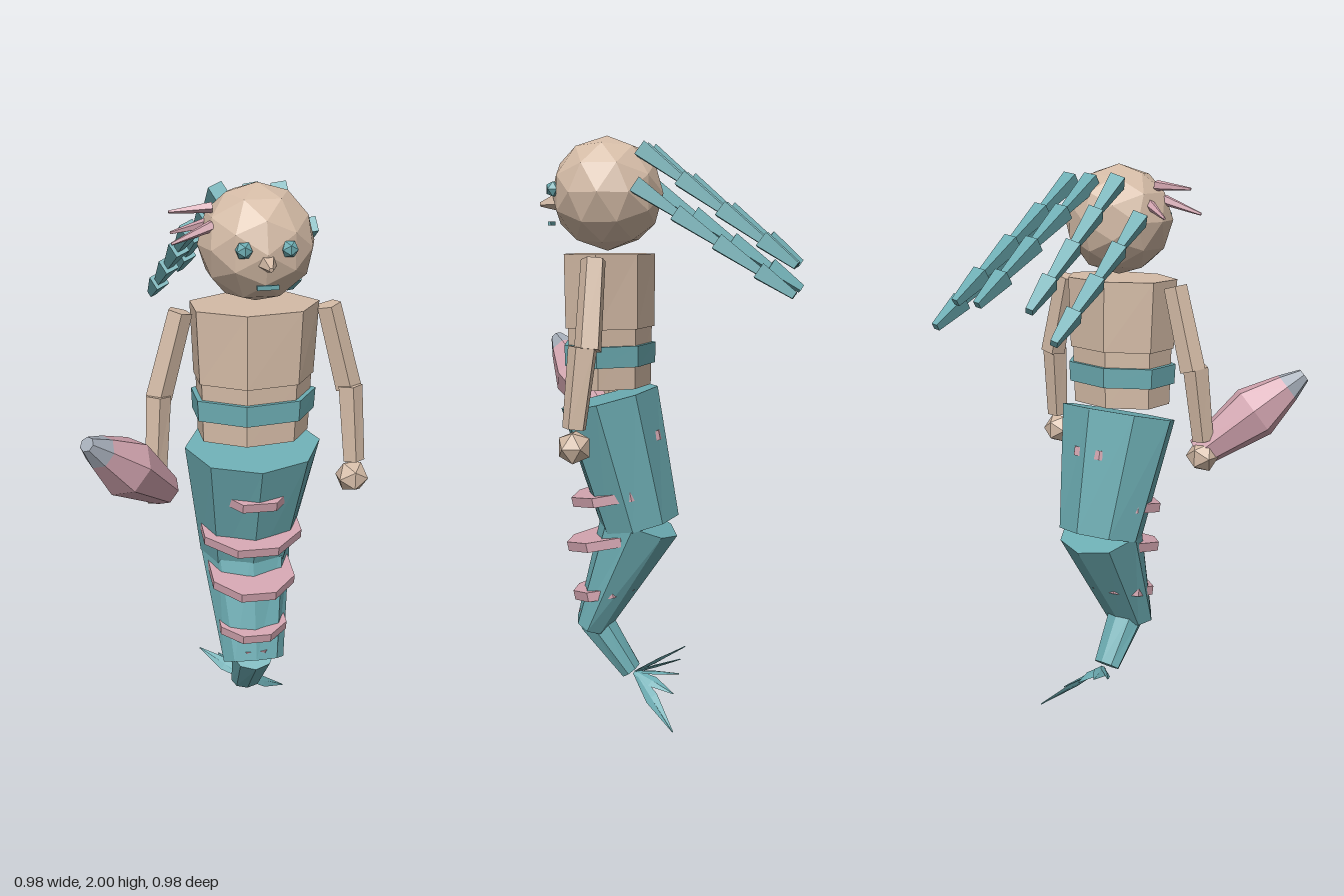
import * as THREE from 'three';

const paint = (name, color) => {
  const m = new THREE.MeshStandardMaterial({ color, flatShading: true });
  m.name = name;
  return m;
};

export function createModel() {
  const skin = paint('skin', 0xd4bba6);
  const teal = paint('teal', 0x6cacb2);
  const pink = paint('pink', 0xd3a5b0);
  const grey = paint('grey', 0xa3abb6);
  const root = new THREE.Group();
  const CX = 0.105; // plane of symmetry of the body

  const add = (name, geo, mat, pos = [0, 0, 0], parent = root) => {
    const m = new THREE.Mesh(geo, mat);
    m.name = name;
    m.position.set(...pos);
    parent.add(m);
    return m;
  };

  // Prism from point a to point b; each end has its own [x, z] radius
  const prism = (name, mat, a, b, ra, rb, sides, turn = 0, parent = root) => {
    const A = new THREE.Vector3(...a), B = new THREE.Vector3(...b);
    const len = A.distanceTo(B);
    const geo = new THREE.CylinderGeometry(1, 1, len, sides).rotateY(turn);
    const p = geo.attributes.position;
    for (let i = 0; i < p.count; i++) {
      const r = [p.getY(i) < 0 ? ra : rb].flat();
      p.setX(i, p.getX(i) * r[0]);
      p.setZ(i, p.getZ(i) * (r[1] ?? r[0]));
    }
    const m = add(name, geo, mat, A.clone().lerp(B, 0.5).toArray(), parent);
    m.quaternion.setFromUnitVectors(new THREE.Vector3(0, 1, 0), B.sub(A).normalize());
    return m;
  };

  // Head and face
  add('head', new THREE.IcosahedronGeometry(0.19, 1), skin, [0.107, 1.81, 0.16]);
  for (const x of [0.035, 0.178]) {
    add('eye', new THREE.IcosahedronGeometry(0.029, 0), teal, [x, 1.823, 0.327]);
  }
  prism('nose', skin, [0.108, 1.785, 0.325], [0.108, 1.775, 0.39], 0.034, 0.008, 5);
  add('mouth', new THREE.BoxGeometry(0.07, 0.014, 0.009), teal, [0.107, 1.711, 0.352]);

  // Torso: seven-sided drums with a belt
  const q = Math.PI / 2;
  prism('waist', skin, [0.1, 1.165, 0.16], [0.1, 1.37, 0.16], [0.193, 0.142], [0.2, 0.146], 7, q);
  prism('belt', teal, [0.1, 1.24, 0.16], [0.1, 1.31, 0.16], [0.212, 0.157], [0.216, 0.159], 7, q);
  prism('chest', skin, [0.1, 1.365, 0.16], [0.1, 1.61, 0.16], [0.207, 0.155], [0.22, 0.157], 7, q);

  // Arms, mirrored about the body plane
  for (const s of [1, -1]) {
    const arm = new THREE.Group();
    arm.name = s > 0 ? 'leftArm' : 'rightArm';
    root.add(arm);
    const at = (x, y, z) => [CX + s * x, y, z];
    prism('upperArm', skin, at(0.32, 1.31, 0.165), at(0.245, 1.595, 0.16), 0.046, 0.042, 5, 0, arm);
    prism('forearm', skin, at(0.338, 1.06, 0.208), at(0.322, 1.32, 0.18), [0.038, 0.04], [0.043, 0.05], 5, 0, arm);
    add('hand', new THREE.IcosahedronGeometry(0.058, 0), skin, at(0.335, 1.0, 0.21), arm);
  }

  // Club held in the right hand
  const club = new THREE.Group();
  club.name = 'club';
  root.add(club);
  const c0 = new THREE.Vector3(-0.205, 1.005, 0.225), c1 = new THREE.Vector3(-0.475, 1.28, 0.472);
  const along = t => c0.clone().lerp(c1, t).toArray();
  prism('clubBody', pink, along(0), along(0.53), 0.055, 0.1, 7, 0, club);
  prism('clubShoulder', pink, along(0.53), along(0.84), 0.1, 0.055, 7, 0, club);
  prism('clubTip', grey, along(0.84), along(1), 0.055, 0.025, 7, 0, club);

  // Tail: three tilted eight-sided sections
  prism('upperTail', teal, [CX, 0.685, 0.05], [CX, 1.122, 0.158], [0.162, 0.137], [0.232, 0.173], 8);
  prism('lowerTail', teal, [CX, 0.32, 0.22], [CX, 0.7, 0.05], [0.108, 0.06], [0.162, 0.14], 8);
  prism('tailEnd', teal, [CX, 0.155, 0.085], [CX, 0.335, 0.212], [0.055, 0.037], [0.075, 0.062], 8);

  // Belly plates: tilted discs [y, z, x radius, z radius]
  for (const [y, z, rx, rz] of [
    [0.972, 0.133, 0.15, 0.174], [0.797, 0.12, 0.184, 0.172],
    [0.635, 0.153, 0.155, 0.157], [0.452, 0.172, 0.127, 0.115], [0.38, 0.2, 0.085, 0.069],
  ]) {
    const h = y < 0.4 ? 0.006 : 0.016;
    prism('bellyPlate', pink, [CX, y - h, z - h * 0.2], [CX, y + h, z + h * 0.2], [rx, rz], [rx, rz], 8, Math.PI / 8);
  }

  // Fan of thin fin blades
  for (const tip of [
    [-0.04, 0.2, -0.088], [0.03, 0.175, -0.08], [0.1, 0.145, -0.085], [0.18, 0.1, -0.075], [0.285, 0.003, -0.088],
  ]) {
    const base = [0.108, 0.148, 0.07];
    const mid = base.map((v, i) => v + (tip[i] - v) * 0.45);
    prism('finBladeInner', teal, base, mid, [0.01, 0.004], [0.024, 0.005], 4);
    prism('finBladeOuter', teal, mid, tip, [0.024, 0.005], [0.002, 0.002], 4);
  }

  // Hair: strands of four tapered links [root x, tip x, upper row]
  for (const [x0, x1, upper] of [
    [-0.085, -0.15, false], [0.01, -0.05, true], [0.118, 0.175, true], [0.21, 0.273, true], [0.312, 0.37, false],
  ]) {
    const a = new THREE.Vector3(x0, upper ? 1.95 : 1.83, 0.03);
    const b = new THREE.Vector3(x1, upper ? 1.575 : 1.485, -0.482);
    for (let i = 0; i < 4; i++) {
      const p = a.clone().lerp(b, i * 0.26), e = a.clone().lerp(b, Math.min(1, i * 0.26 + 0.28));
      prism('hairLink', teal, p.toArray(), e.toArray(), 0.037, 0.017, 4, 0.5);
    }
  }

  // Spikes on the right side of the head
  for (const [base, tip] of [
    [[-0.045, 1.87, 0.133], [-0.155, 1.83, 0.073]],
    [[-0.04, 1.93, 0.18], [-0.177, 1.922, 0.19]],
    [[-0.045, 1.88, 0.22], [-0.177, 1.835, 0.253]],
  ]) prism('headSpike', pink, base, tip, 0.019, 0.005, 5);

  return root;
}
